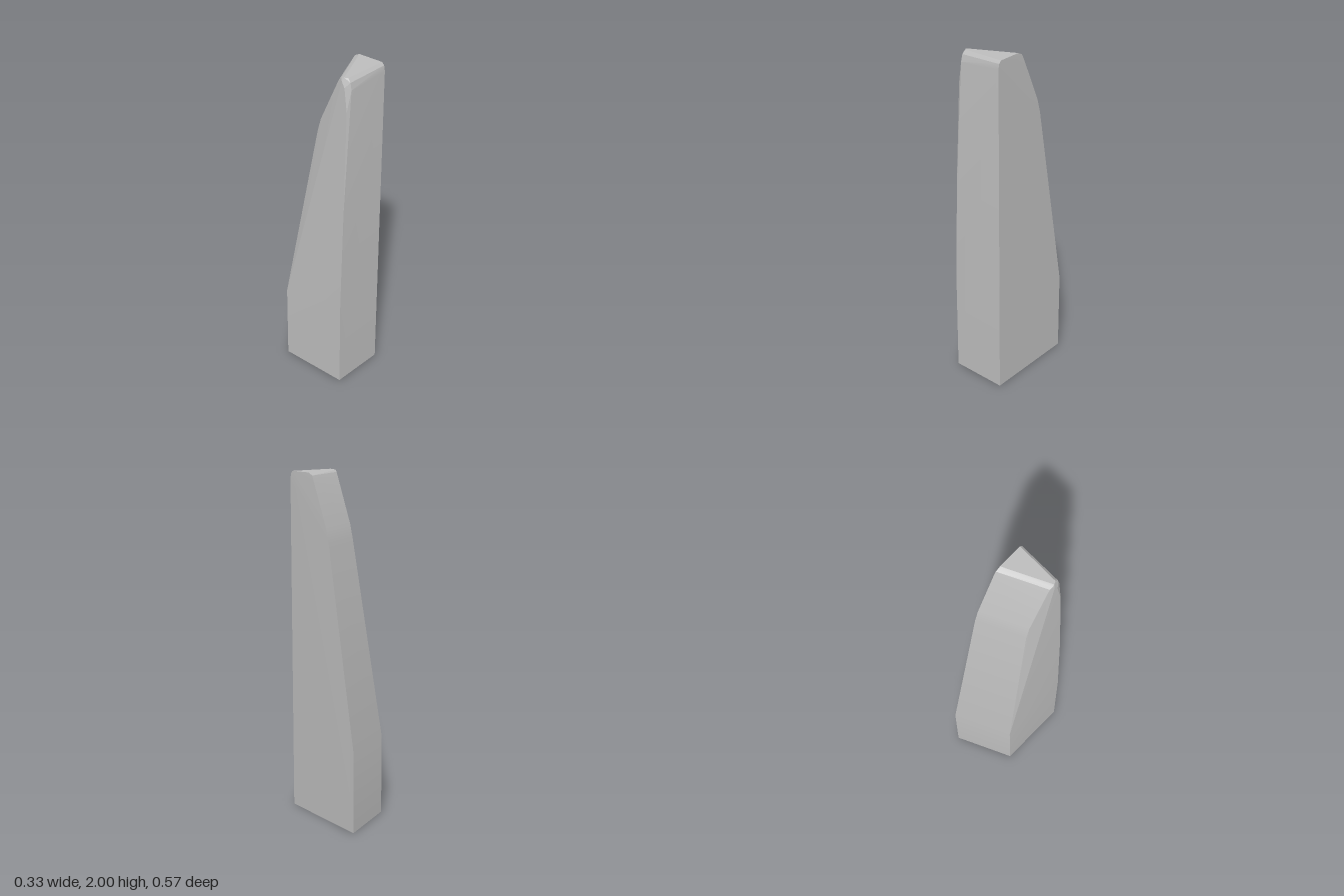
import * as THREE from 'three';
import { ConvexGeometry } from 'three/addons/geometries/ConvexGeometry.js';
import { toCreasedNormals } from 'three/addons/utils/BufferGeometryUtils.js';

export function createModel() {
  const stone = new THREE.MeshStandardMaterial({ color: 0xbcbcbc });
  stone.name = 'grey stone';

  const points = [];
  const add = (x, y, z) => points.push(new THREE.Vector3(x, y, z));

  // Slanted back: height, z at the straight side, x at the narrow side, x at the straight side
  const back = [
    [0, -0.285, -0.165, 0.165],
    [0.48, -0.285, -0.162, 0.165],
    [1.62, -0.067, -0.095, 0.165],
    [1.7, -0.045, -0.094, 0.164],
    [1.96, 0.072, -0.098, 0.161],
    [1.985, 0.085, -0.1, 0.16],
    [2, 0.115, -0.1, 0.16],
  ];
  for (const [y, z, xNarrow, xWide] of back) {
    add(xWide, y, z + 0.44 * (0.165 - xWide));
    add(xNarrow, y, z + 0.44 * (0.165 - xNarrow));
  }

  // Straight front edge with a rounded top
  for (const [y, z] of [[0, 0.285], [1.955, 0.285], [1.985, 0.279], [2, 0.265]]) add(0.165, y, z);

  // Tapering front edge, then the clipped top corner
  add(-0.165, 0.012, 0.278);
  add(-0.165, 0.6, 0.278);
  add(-0.145, 1.22, 0.277);
  add(-0.12, 1.82, 0.268);
  add(-0.113, 1.95, 0.245);
  add(-0.095, 1.94, 0.277);
  add(-0.093, 1.98, 0.268);
  add(-0.11, 1.98, 0.225);
  add(-0.09, 2, 0.25);
  add(-0.103, 1.995, 0.215);

  const pillar = new THREE.Mesh(toCreasedNormals(new ConvexGeometry(points), 0.2), stone);
  pillar.name = 'taperedPillar';

  const model = new THREE.Group();
  model.name = 'standingStone';
  model.add(pillar);
  return model;
}
